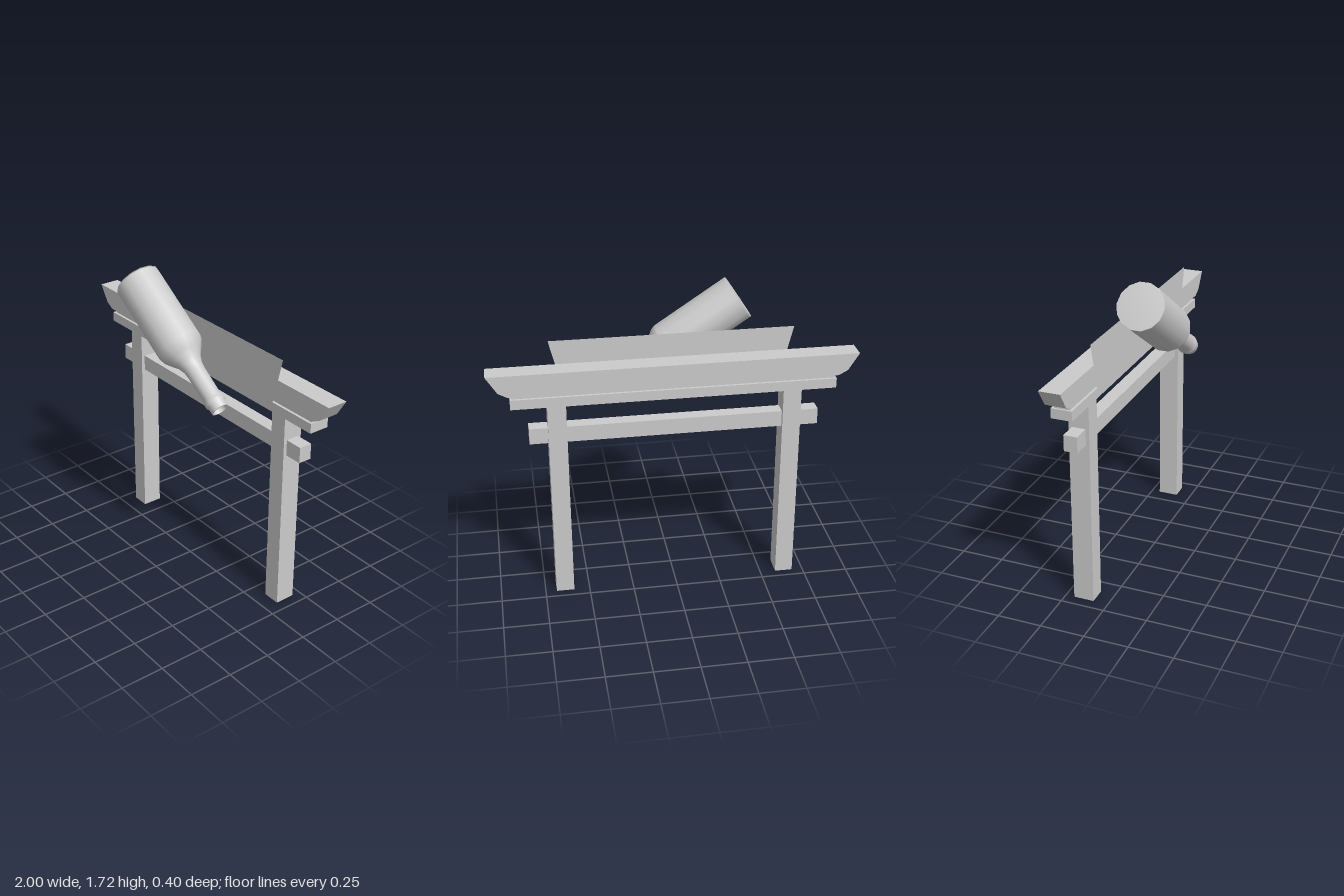
import * as THREE from 'three';

const Z = -0.143; // centre plane of the gate

export function createModel() {
  const group = new THREE.Group();
  const flat = new THREE.MeshStandardMaterial({ color: 0xcccccc, flatShading: true });
  const thin = new THREE.MeshStandardMaterial({ color: 0xcccccc, side: THREE.DoubleSide });
  const smooth = new THREE.MeshStandardMaterial({ color: 0xcccccc, side: THREE.DoubleSide });

  const add = (name, geometry, material) => {
    const mesh = new THREE.Mesh(geometry, material);
    mesh.name = name;
    group.add(mesh);
    return mesh;
  };
  const beam = (name, x, y0, y1, width, depth) =>
    add(name, new THREE.BoxGeometry(width, y1 - y0, depth), flat).position.set(x, (y0 + y1) / 2, Z);
  const outline = (half) => new THREE.Shape([
    ...half.map(([x, y]) => new THREE.Vector2(x, y)),
    ...half.slice().reverse().map(([x, y]) => new THREE.Vector2(-x, y)),
  ]);

  // Gate posts and cross beams
  beam('leftPost', 0.638, 0, 1.17, 0.1, 0.115);
  beam('rightPost', -0.638, 0, 1.17, 0.1, 0.115);
  beam('lowerBeam', 0, 0.945, 1.035, 1.58, 0.076);
  beam('upperBeam', 0, 1.165, 1.22, 1.76, 0.115);
  beam('spacerBeam', 0, 1.215, 1.245, 1.74, 0.085);

  // Top lintel with upswept ends
  const lintel = new THREE.ExtrudeGeometry(
    outline([[0.89, 1.238], [0.94, 1.265], [1, 1.36]]),
    { depth: 0.116, bevelEnabled: false });
  add('topLintel', lintel, flat).position.z = Z - 0.058;

  // Thin sign board leaning on nothing, just in front of the lintel
  add('signBoard', new THREE.ShapeGeometry(outline([[0.587, 1.19], [0.662, 1.49]])), thin)
    .position.z = -0.078;

  // Tilted bottle: radius and distance from the base, ending inside the mouth
  const profile = [
    [0, 0], [0.129, 0], [0.13, 0.01], [0.13, 0.24], [0.13, 0.46], [0.123, 0.485],
    [0.098, 0.523], [0.072, 0.56], [0.057, 0.6], [0.053, 0.64], [0.051, 0.81],
    [0.058, 0.818], [0.059, 0.84], [0.051, 0.85], [0.05, 0.885],
    [0.041, 0.885], [0.039, 0.83], [0, 0.825],
  ].map(([r, y]) => new THREE.Vector2(r, y));
  const bottle = add('bottle', new THREE.LatheGeometry(profile, 14), smooth);
  bottle.position.set(-0.382, 1.617, 0.073);
  bottle.rotation.z = -THREE.MathUtils.degToRad(123.5);

  return group;
}
